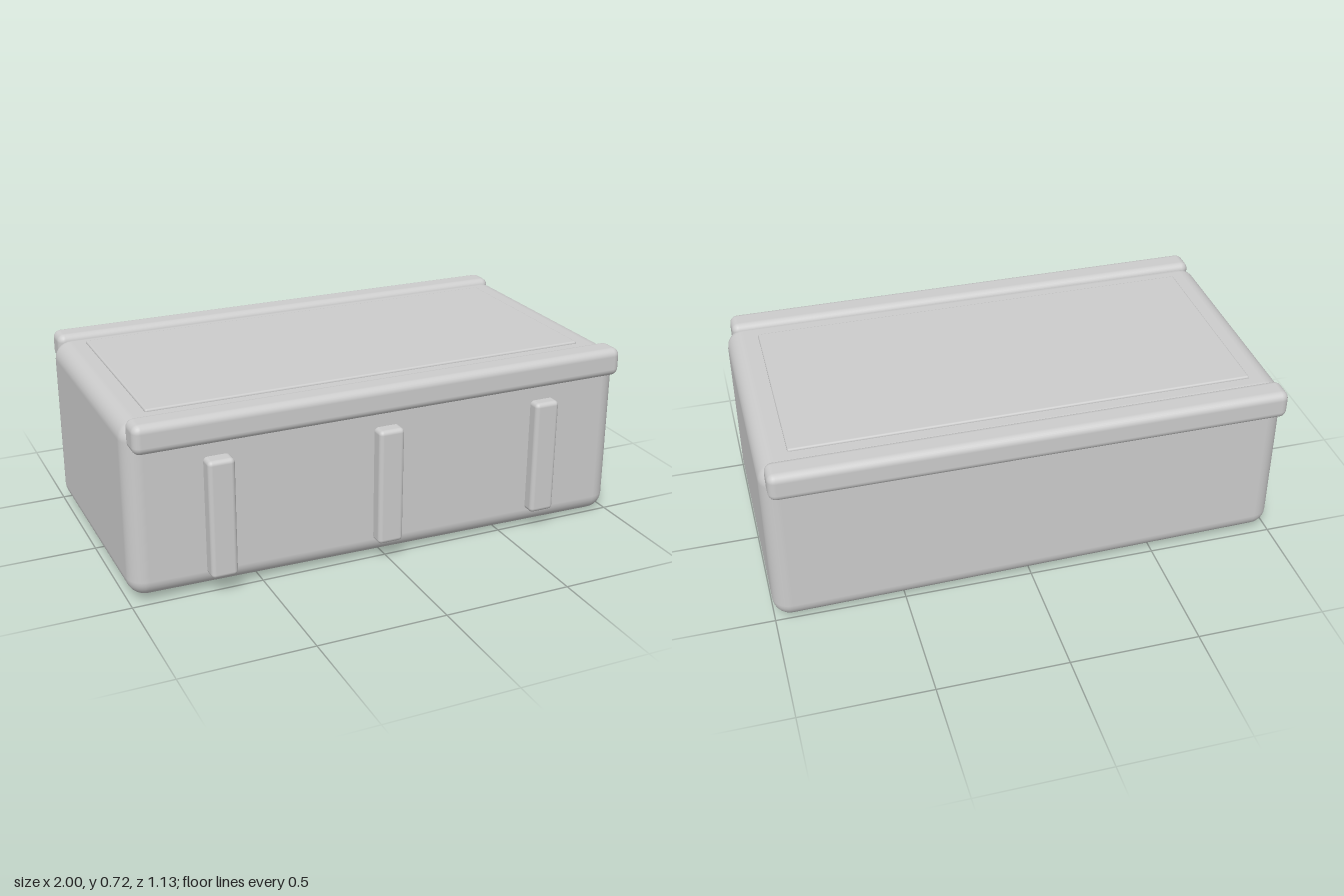
import * as THREE from 'three';
import { RoundedBoxGeometry } from 'three/addons/geometries/RoundedBoxGeometry.js';

const grey = new THREE.MeshStandardMaterial({ color: 0xcccccc });
grey.name = 'plain grey';

// Rounded block given by its lower and upper corners
function block(name, [x0, y0, z0], [x1, y1, z1], radius, segments = 3) {
  const geometry = new RoundedBoxGeometry(x1 - x0, y1 - y0, z1 - z0, segments, radius);
  geometry.translate((x0 + x1) / 2, (y0 + y1) / 2, (z0 + z1) / 2);
  const mesh = new THREE.Mesh(geometry, grey);
  mesh.name = name;
  return mesh;
}

export function createModel() {
  const model = new THREE.Group();
  model.name = 'crate';

  // Body: slightly narrower and higher-bottomed towards -x
  const body = block('body', [-1, 0, -0.515], [1, 0.697, 0.515], 0.07, 4);
  const p = body.geometry.attributes.position;
  for (let i = 0; i < p.count; i++) {
    const t = (1 - p.getX(i)) / 2;
    const y = p.getY(i);
    p.setY(i, y + 0.022 * t * (1 - y / 0.697));
    p.setZ(i, p.getZ(i) * (1 - 0.025 * t));
  }
  model.add(body);

  // Raised lid panel
  model.add(block('lidPanel', [-0.885, 0.64, -0.402], [0.88, 0.706, 0.398], 0.008, 2));

  // Rails along the long top edges
  model.add(block('frontRail', [-0.98, 0.605, 0.455], [0.975, 0.716, 0.566], 0.03));
  model.add(block('backRail', [-0.98, 0.605, -0.566], [0.975, 0.716, -0.455], 0.03));

  // Upright ribs on the front
  for (const x of [-0.665, -0.003, 0.66]) {
    model.add(block('frontRib', [x - 0.051, 0.078, 0.46], [x + 0.051, 0.539, 0.56], 0.017));
  }
  return model;
}
